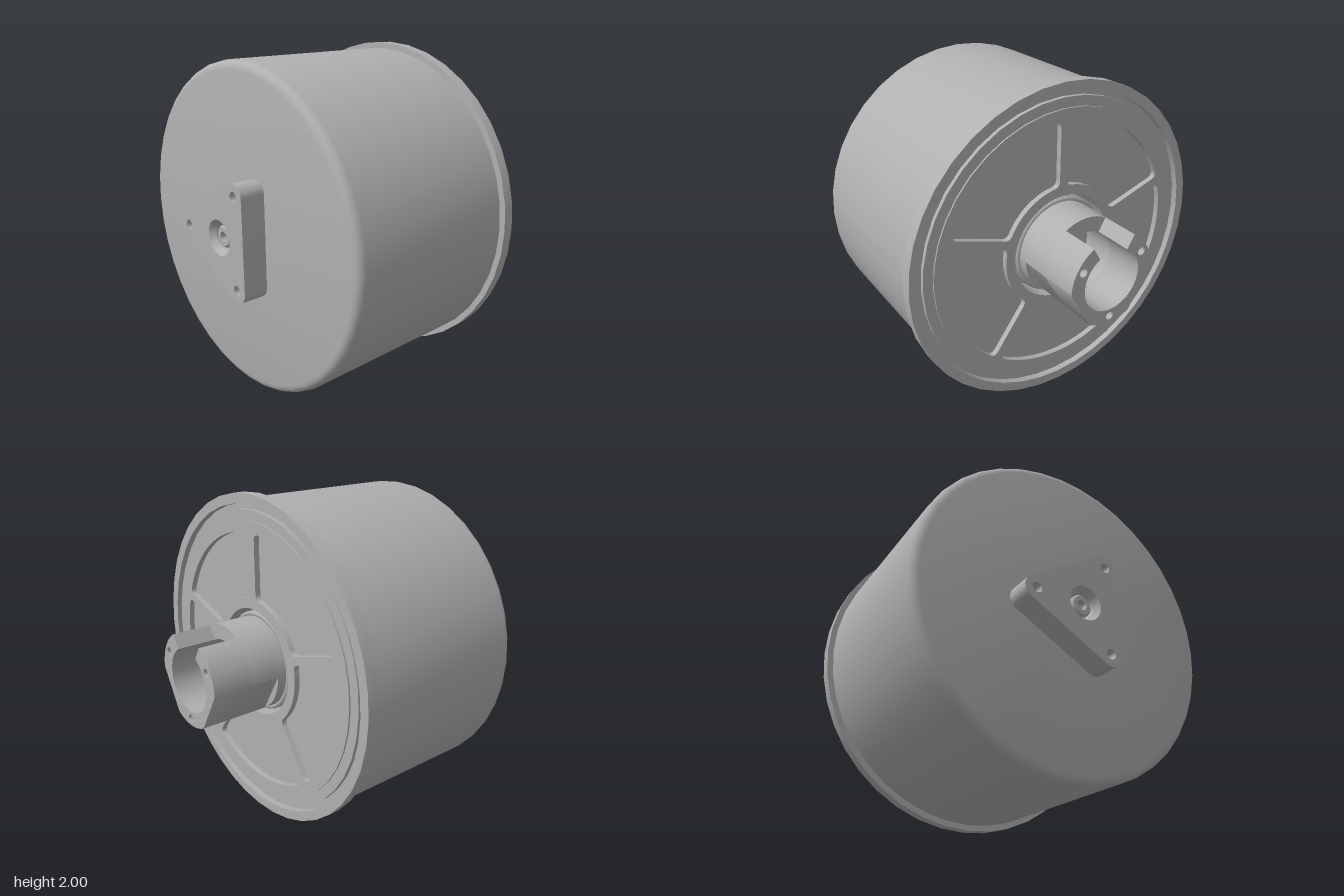
import * as THREE from 'three';
import { toCreasedNormals } from 'three/addons/utils/BufferGeometryUtils.js';

const rad = THREE.MathUtils.degToRad;
const polar = (r, a) => new THREE.Vector2(r * Math.cos(a), r * Math.sin(a));

// Circular hole for a shape
function circle(x, y, r) {
  return new THREE.Path().absarc(x, y, r, 0, Math.PI * 2, true);
}

// Turned part along z, profile given as [radius, z] from back to front
function turned(profile, segments) {
  const points = profile.map(([r, z]) => new THREE.Vector2(r, z));
  return toCreasedNormals(new THREE.LatheGeometry(points, segments).rotateX(Math.PI / 2), rad(32));
}

// Straight extrusion between two z positions
function slab(shape, z0, z1, curveSegments = 12) {
  const g = new THREE.ExtrudeGeometry(shape, { depth: z1 - z0, bevelEnabled: false, curveSegments });
  return toCreasedNormals(g.translate(0, 0, z0), rad(32));
}

// Rounded ring sector between two ribs, centred on angle m
function pocket(m, ri, ro) {
  const c = 0.04, w = 0.025;
  const hi = Math.PI / 5 - Math.asin(w / ri), ho = Math.PI / 5 - Math.asin(w / ro);
  const path = new THREE.Path();
  const side = (s, t) => polar(ri, m + s * hi).lerp(polar(ro, m + s * ho), t);
  const quad = (k, p) => path.quadraticCurveTo(k.x, k.y, p.x, p.y);
  const line = (p) => path.lineTo(p.x, p.y);
  const t = c / (ro - ri);
  path.absarc(0, 0, ro, m - ho + c / ro, m + ho - c / ro, false);
  quad(polar(ro, m + ho), side(1, 1 - t));
  line(side(1, t));
  quad(polar(ri, m + hi), polar(ri, m + hi - c / ri));
  path.absarc(0, 0, ri, m + hi - c / ri, m - hi + c / ri, true);
  quad(polar(ri, m - hi), side(-1, t));
  line(side(-1, 1 - t));
  quad(polar(ro, m - ho), polar(ro, m - ho + c / ro));
  return path;
}

// Hub section with two flats; optionally open at the top
function hubShape(slotted) {
  const R = 0.28, bore = 0.19;
  const s = new THREE.Shape();
  const arc = (a, b) => s.absarc(0, 0, R, rad(a), rad(b), false);
  if (slotted) {
    arc(120, 180);
    arc(240, 300);
    arc(360, 420);
    s.absarc(0, 0, bore, rad(60), rad(-240), true);
    s.closePath();
    for (const a of [30, 150, 270]) {
      const p = polar(0.235, rad(a));
      s.holes.push(circle(p.x, p.y, 0.025));
    }
  } else {
    arc(0, 180);
    arc(240, 300);
    s.closePath();
    s.holes.push(circle(0, 0, bore));
  }
  return s;
}

export function createModel() {
  const model = new THREE.Group();
  const grey = new THREE.MeshStandardMaterial({ color: 0xb0b0b0 });
  grey.name = 'plain grey';
  const add = (name, geometry) => {
    const mesh = new THREE.Mesh(geometry, grey);
    mesh.name = name;
    mesh.position.y = 1;
    model.add(mesh);
  };

  // Drum with rear flange, rear recesses and rounded front edge
  const profile = [
    [0, -0.3], [0.33, -0.3], [0.33, -0.41], [0.85, -0.41], [0.85, -0.435], [0.91, -0.435],
    [0.91, -0.41], [0.94, -0.41], [0.94, -0.45], [1, -0.45], [1, -0.38], [0.965, -0.38],
  ];
  for (let i = 0; i <= 4; i++) {
    const p = polar(0.05, (i / 4) * Math.PI / 2);
    profile.push([0.915 + p.x, 0.7 + p.y]);
  }
  profile.push([0, 0.75]);
  add('drum', turned(profile, 40));

  // Rear plate with five pockets between ribs
  const plate = new THREE.Shape().absarc(0, 0, 0.85, 0, Math.PI * 2, false);
  plate.holes.push(circle(0, 0, 0.33));
  for (let i = 0; i < 5; i++) plate.holes.push(pocket(rad(126 + 72 * i), 0.39, 0.78));
  add('rearPlate', slab(plate, -0.445, -0.408, 20));

  // Threaded collar around the hub
  for (let i = 0; i < 3; i++) {
    add('threadRing', new THREE.TorusGeometry(0.29, 0.016, 6, 40).translate(0, 0, -0.33 - i * 0.04));
  }

  // Rear hub: round root, flatted middle, slotted end
  add('hubRoot', turned([[0, -0.45], [0.19, -0.45], [0.19, -0.48], [0.28, -0.48], [0.28, -0.29]], 40));
  add('hubMiddle', slab(hubShape(false), -0.66, -0.48));
  add('hubEnd', slab(hubShape(true), -0.9, -0.66));

  // Triangular front mount with rounded corners and screw holes
  const mount = new THREE.Shape();
  const corners = [60, 180, 300].map((a) => [polar(0.312, rad(a)), a]);
  for (const [p, a] of corners) mount.absarc(p.x, p.y, 0.073, rad(a - 60), rad(a + 60), false);
  mount.closePath();
  for (const [p] of corners) mount.holes.push(circle(p.x, p.y, 0.03));
  mount.holes.push(circle(0, 0, 0.105));
  add('frontMount', slab(mount, 0.745, 0.9));

  // Countersunk seat with the shaft end inside
  add('shaftSeat', turned([
    [0.105, 0.9], [0.075, 0.865], [0.075, 0.8], [0.065, 0.8], [0.065, 0.86], [0.055, 0.87],
    [0.03, 0.87], [0.03, 0.83], [0, 0.83],
  ], 24));

  return model;
}
